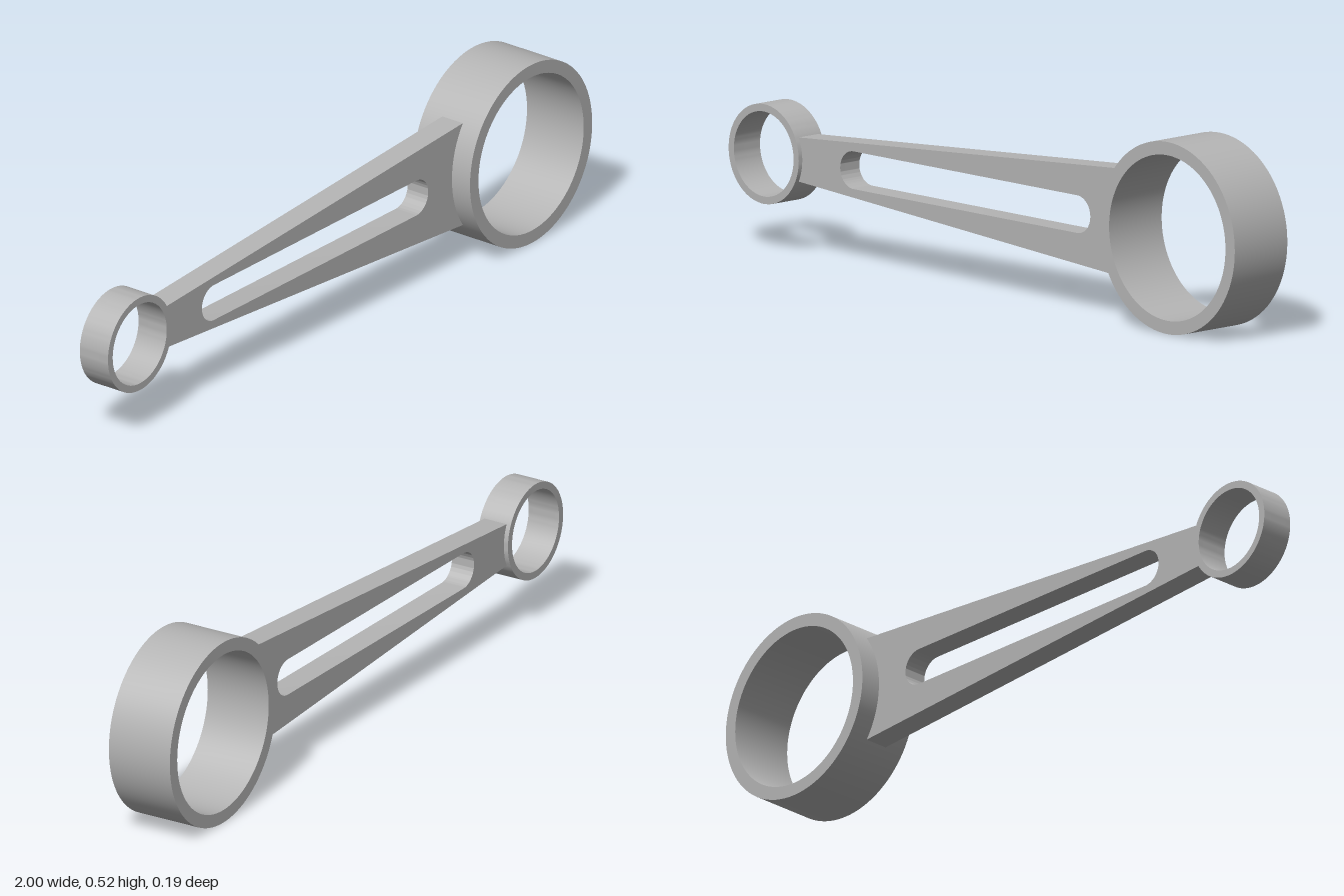
import * as THREE from 'three';
import { toCreasedNormals } from 'three/addons/utils/BufferGeometryUtils.js';

const AXIS_Y = 0.26;
const BIG = { x: 0.74, outer: 0.26, inner: 0.224, depth: 0.193 };
const SMALL = { x: -0.865, outer: 0.135, inner: 0.115, depth: 0.096 };

// Extrude a shape centred on z = 0, smooth on curves and sharp on edges
function plate(name, shape, depth, material) {
  const geometry = new THREE.ExtrudeGeometry(shape, { depth, bevelEnabled: false, curveSegments: 48 });
  geometry.translate(0, 0, -depth / 2);
  const mesh = new THREE.Mesh(toCreasedNormals(geometry, 0.5), material);
  mesh.name = name;
  return mesh;
}

// Bearing ring with its bore along z
function ring(name, { x, outer, inner, depth }, material) {
  const shape = new THREE.Shape().absarc(0, 0, outer, 0, Math.PI * 2);
  shape.holes.push(new THREE.Path().absarc(0, 0, inner, 0, Math.PI * 2, true));
  const mesh = plate(name, shape, depth, material);
  mesh.position.set(x, AXIS_Y, 0);
  return mesh;
}

// Tapered beam whose ends follow the rings and stop inside their walls
function beamShape() {
  const rs = 0.125, rb = 0.243;
  const as = Math.asin(0.059 / rs), ab = Math.asin(0.15 / rb);
  const shape = new THREE.Shape();
  shape.absarc(SMALL.x, 0, rs, as, -as, true);
  shape.absarc(BIG.x, 0, rb, Math.PI + ab, Math.PI - ab, true);
  shape.closePath();

  // Long slot with round ends
  const slot = new THREE.Path();
  slot.absarc(-0.533, 0, 0.051, Math.PI / 2, Math.PI * 1.5);
  slot.absarc(0.328, 0, 0.051, -Math.PI / 2, Math.PI / 2);
  slot.closePath();
  shape.holes.push(slot);
  return shape;
}

export function createModel() {
  const steel = new THREE.MeshStandardMaterial({ color: 0xb4b4b4 });
  steel.name = 'steel grey';

  const group = new THREE.Group();
  group.name = 'connectingRod';
  const beam = plate('beam', beamShape(), 0.07, steel);
  beam.position.y = AXIS_Y;
  group.add(beam, ring('bigEnd', BIG, steel), ring('smallEnd', SMALL, steel));
  return group;
}
